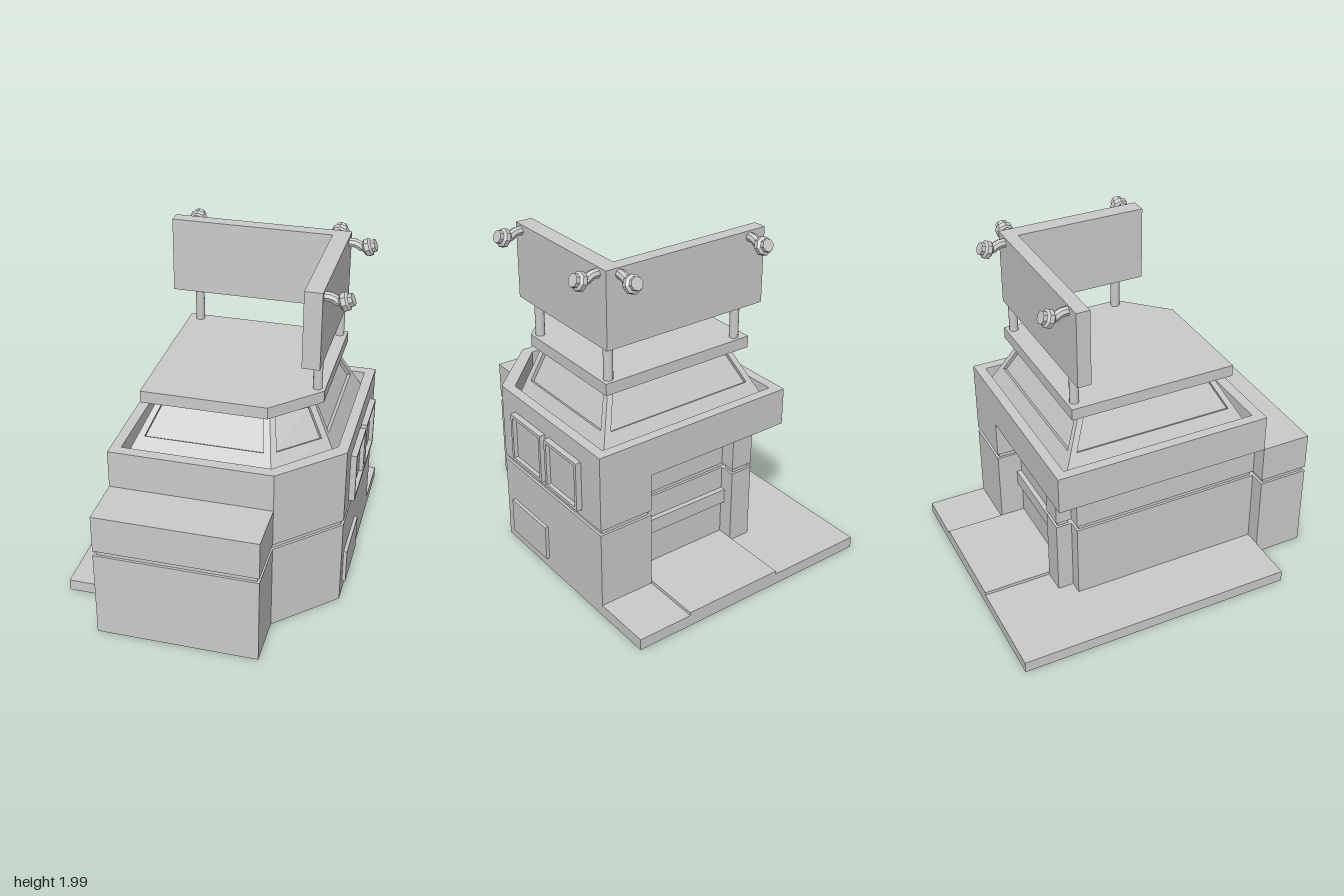
import * as THREE from 'three';

const material = new THREE.MeshStandardMaterial({ color: 0xcccccc, flatShading: true, side: THREE.DoubleSide });

// Offsets a [x, z] outline inwards by d
function inset(points, d) {
  const n = points.length;
  const area = points.reduce((s, p, i) => {
    const q = points[(i + 1) % n];
    return s + p[0] * q[1] - q[0] * p[1];
  }, 0);
  const sign = Math.sign(area);
  const normal = (a, b) => new THREE.Vector2(a[1] - b[1], b[0] - a[0]).normalize().multiplyScalar(sign);
  return points.map((p, i) => {
    const n1 = normal(points[(i + n - 1) % n], p);
    const n2 = normal(p, points[(i + 1) % n]);
    const k = d / (1 + n1.dot(n2));
    return [p[0] + (n1.x + n2.x) * k, p[1] + (n1.y + n2.y) * k];
  });
}

export function createModel() {
  const model = new THREE.Group();

  const add = (name, geometry, parent = model) => {
    const mesh = new THREE.Mesh(geometry, material);
    mesh.name = name;
    parent.add(mesh);
    return mesh;
  };

  // Box given by its limits
  const box = (name, x0, x1, y0, y1, z0, z1) =>
    add(name, new THREE.BoxGeometry(x1 - x0, y1 - y0, z1 - z0)
      .translate((x0 + x1) / 2, (y0 + y1) / 2, (z0 + z1) / 2));

  // Upright prism over a floor outline, with an optional hole
  const prism = (name, outline, y0, y1, hole) => {
    const flat = (pts) => pts.map(([x, z]) => new THREE.Vector2(x, -z));
    const shape = new THREE.Shape(flat(outline));
    if (hole) shape.holes.push(new THREE.Path(flat(hole)));
    const geometry = new THREE.ExtrudeGeometry(shape, { depth: y1 - y0, bevelEnabled: false });
    return add(name, geometry.rotateX(-Math.PI / 2).translate(0, y0, 0));
  };

  // Wall with a shallow groove running around it
  const groovedWall = (name, outline, y0, y1) => {
    prism(name + 'Lower', outline, y0, 0.54);
    prism(name + 'Groove', inset(outline, 0.015), 0.54, 0.57);
    prism(name + 'Upper', outline, 0.57, y1);
  };
  const rect = (x0, x1, z0, z1) => [[x0, z0], [x1, z0], [x1, z1], [x0, z1]];

  // Base slab and entrance step
  prism('baseSlab', [[-0.81, -1], [0.77, -1], [0.77, 0.36], [0.43, 0.69], [-0.81, 0.69]], 0, 0.07);
  box('entranceStep', -0.2, 0.43, 0, 0.09, -1, -0.49);

  // Walls, recessed under the overhang at the back and the right side
  groovedWall('wall', [[0.77, -0.64], [0.77, 0.36], [0.43, 0.69], [-0.42, 0.69],
    [-0.42, -0.49], [0.43, -0.49], [0.43, -0.64]], 0, 0.8);
  groovedWall('frontBlock', rect(-0.52, 0.43, 0.69, 1), 0, 0.8);
  groovedWall('entrancePost', rect(-0.34, -0.2, -0.585, -0.49), 0.07, 0.8);
  box('entranceRail', -0.2, 0.43, 0.31, 0.4, -0.52, -0.48);

  // Overhanging upper storey and parapet
  const storey = [[-0.52, -0.64], [0.77, -0.64], [0.77, 0.36], [0.43, 0.69], [-0.52, 0.69]];
  const base = [[-0.46, -0.58], [0.71, -0.58], [0.71, 0.31], [0.4, 0.625], [-0.46, 0.625]];
  const top = [[-0.29, -0.4], [0.545, -0.4], [0.545, 0.25], [0.34, 0.43], [-0.29, 0.43]];
  prism('upperStorey', storey, 0.8, 0.92);
  prism('parapet', storey, 0.92, 1.03, base);

  // Sloping cabin: each side is a frame around a recessed pane
  const cabin = new THREE.Group();
  cabin.name = 'cabin';
  model.add(cabin);
  base.forEach((_, i) => {
    const j = (i + 1) % base.length;
    const corner = (p, y) => new THREE.Vector3(p[0], y, p[1]);
    const outer = [corner(base[j], 0.92), corner(base[i], 0.92), corner(top[i], 1.28), corner(top[j], 1.28)];
    const normal = outer[1].clone().sub(outer[0]).cross(outer[3].clone().sub(outer[0])).normalize();
    const at = (u, v) => outer[0].clone().lerp(outer[1], u).lerp(outer[3].clone().lerp(outer[2], u), v);
    const m = 0.045 / outer[0].distanceTo(outer[1]);
    const n = 0.035 / outer[2].distanceTo(outer[3]);
    const opening = [at(m, 0.42), at(1 - m, 0.42), at(1 - n, 0.9), at(n, 0.9)];
    const pane = opening.map((p) => p.clone().addScaledVector(normal, -0.022));
    const positions = [];
    const quad = (a, b, c, d) => [a, b, c, a, c, d].forEach((p) => positions.push(p.x, p.y, p.z));
    for (let k = 0; k < 4; k++) {
      const l = (k + 1) % 4;
      quad(outer[k], outer[l], opening[l], opening[k]);
      quad(opening[k], opening[l], pane[l], pane[k]);
    }
    quad(...pane);
    const geometry = new THREE.BufferGeometry();
    geometry.setAttribute('position', new THREE.Float32BufferAttribute(positions, 3));
    geometry.computeVertexNormals();
    add('cabinWindow', geometry, cabin);
  });

  // Roof plate
  prism('roof', [[-0.37, -0.48], [0.61, -0.48], [0.61, 0.27], [0.35, 0.53], [-0.37, 0.53]], 1.28, 1.35);

  // Left side windows and lower hatch
  for (const [z0, z1] of [[-0.1, 0.215], [-0.46, -0.14]]) {
    const y0 = 0.615, y1 = 0.92, w = 0.02;
    box('sideWindowSill', 0.76, 0.805, y0, y0 + w, z0, z1);
    box('sideWindowHead', 0.76, 0.805, y1 - w, y1, z0, z1);
    box('sideWindowJamb', 0.76, 0.805, y0 + w, y1 - w, z0, z0 + w);
    box('sideWindowJamb', 0.76, 0.805, y0 + w, y1 - w, z1 - w, z1);
    box('sideWindowPane', 0.76, 0.78, y0 + w, y1 - w, z0 + w, z1 - w);
  }
  box('hatch', 0.76, 0.79, 0.07, 0.29, -0.09, 0.28);

  // L-shaped sign boards on posts
  box('backBoard', -0.455, 0.5, 1.54, 1.99, -0.48, -0.4);
  box('sideBoard', 0.5, 0.6, 1.54, 1.99, -0.48, 0.39);
  for (const [x, z] of [[-0.3, -0.435], [0.565, -0.435], [0.565, 0.24]]) {
    add('boardPost', new THREE.CylinderGeometry(0.027, 0.027, 0.2, 12).translate(x, 1.445, z));
  }

  // Lamps on bent arms; each is built pointing along +x
  const armPath = new THREE.CatmullRomCurve3([[-0.01, 1.955], [0.04, 1.952], [0.08, 1.93], [0.11, 1.935]]
    .map(([x, y]) => new THREE.Vector3(x, y, 0)));
  const headProfile = [[0, 0], [0.035, 0], [0.053, 0.014], [0.053, 0.04], [0.037, 0.05], [0.037, 0.072], [0, 0.072]]
    .map(([r, y]) => new THREE.Vector2(r, y));
  for (const [x, z, turn] of [[0.6, 0.34, 0], [0.6, -0.405, 0], [-0.35, -0.48, Math.PI / 2], [0.515, -0.48, Math.PI / 2]]) {
    const lamp = new THREE.Group();
    lamp.name = 'lamp';
    add('lampArm', new THREE.TubeGeometry(armPath, 6, 0.027, 8), lamp);
    const head = add('lampHead', new THREE.LatheGeometry(headProfile, 8), lamp);
    head.position.set(0.085, 1.925, 0);
    head.rotation.z = -Math.PI / 2 + 0.4;
    lamp.position.set(x, 0, z);
    lamp.rotation.y = turn;
    model.add(lamp);
  }

  return model;
}
